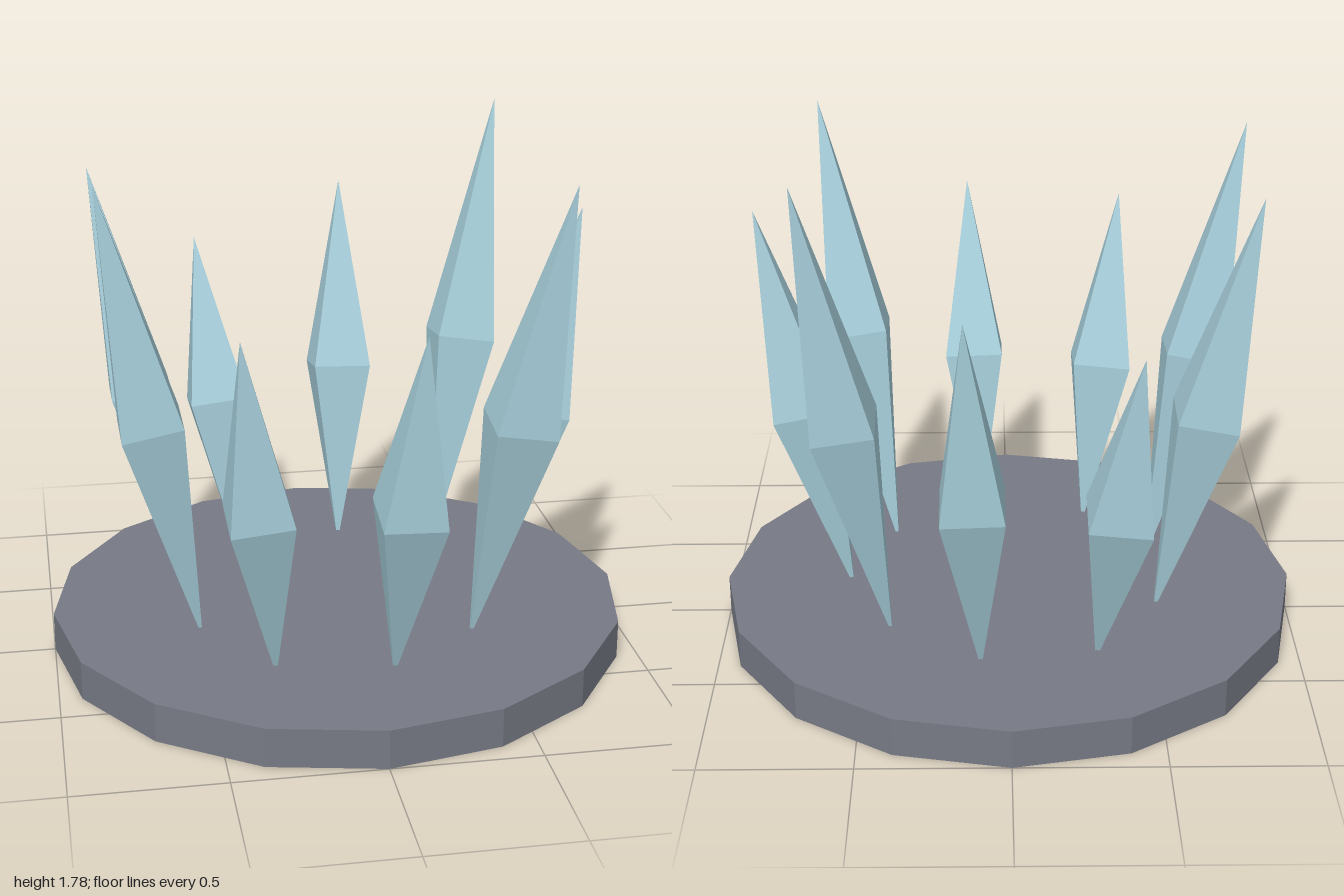
import * as THREE from 'three';

const BASE_HEIGHT = 0.135;
const RING_RADIUS = 0.7;   // distance of each crystal's middle from the centre
const FOOT_Y = 0.09;       // lower points sink slightly into the base
const TILT = 0.205;        // outward lean in radians
const HALF_WIDTH = 0.104;

// Tip heights, going round from +x towards the back
const TIPS = [1.515, 1.78, 1.44, 1.275, 1.65, 1.725, 1.335, 1.355, 1.735];

export function createModel() {
  const model = new THREE.Group();
  model.name = 'crystalCircle';

  const stone = new THREE.MeshStandardMaterial({ color: 0x777a85, flatShading: true });
  stone.name = 'grey stone';
  const ice = new THREE.MeshStandardMaterial({ color: 0xa8d0dc, flatShading: true });
  ice.name = 'pale blue crystal';

  // Sixteen-sided stone slab
  const base = new THREE.Mesh(new THREE.CylinderGeometry(1, 1, BASE_HEIGHT, 16), stone);
  base.name = 'stoneBase';
  base.position.y = BASE_HEIGHT / 2;
  model.add(base);

  // Ring of four-sided double-pointed crystals, all leaning outward
  const up = new THREE.Vector3(0, 1, 0);
  TIPS.forEach((tip, i) => {
    const angle = (i / TIPS.length) * Math.PI * 2;
    const outX = Math.cos(angle), outZ = -Math.sin(angle);
    const half = (tip - FOOT_Y) / 2 / Math.cos(TILT);
    const profile = [
      new THREE.Vector2(0, -half),
      new THREE.Vector2(HALF_WIDTH * Math.SQRT2, 0),
      new THREE.Vector2(0, half),
    ];
    const crystal = new THREE.Mesh(new THREE.LatheGeometry(profile, 4, Math.PI / 4), ice);
    crystal.name = `crystal${i + 1}`;
    crystal.position.set(outX * RING_RADIUS, (tip + FOOT_Y) / 2, outZ * RING_RADIUS);
    const axis = new THREE.Vector3(outX * Math.sin(TILT), Math.cos(TILT), outZ * Math.sin(TILT));
    crystal.quaternion.setFromUnitVectors(up, axis);
    model.add(crystal);
  });

  return model;
}
